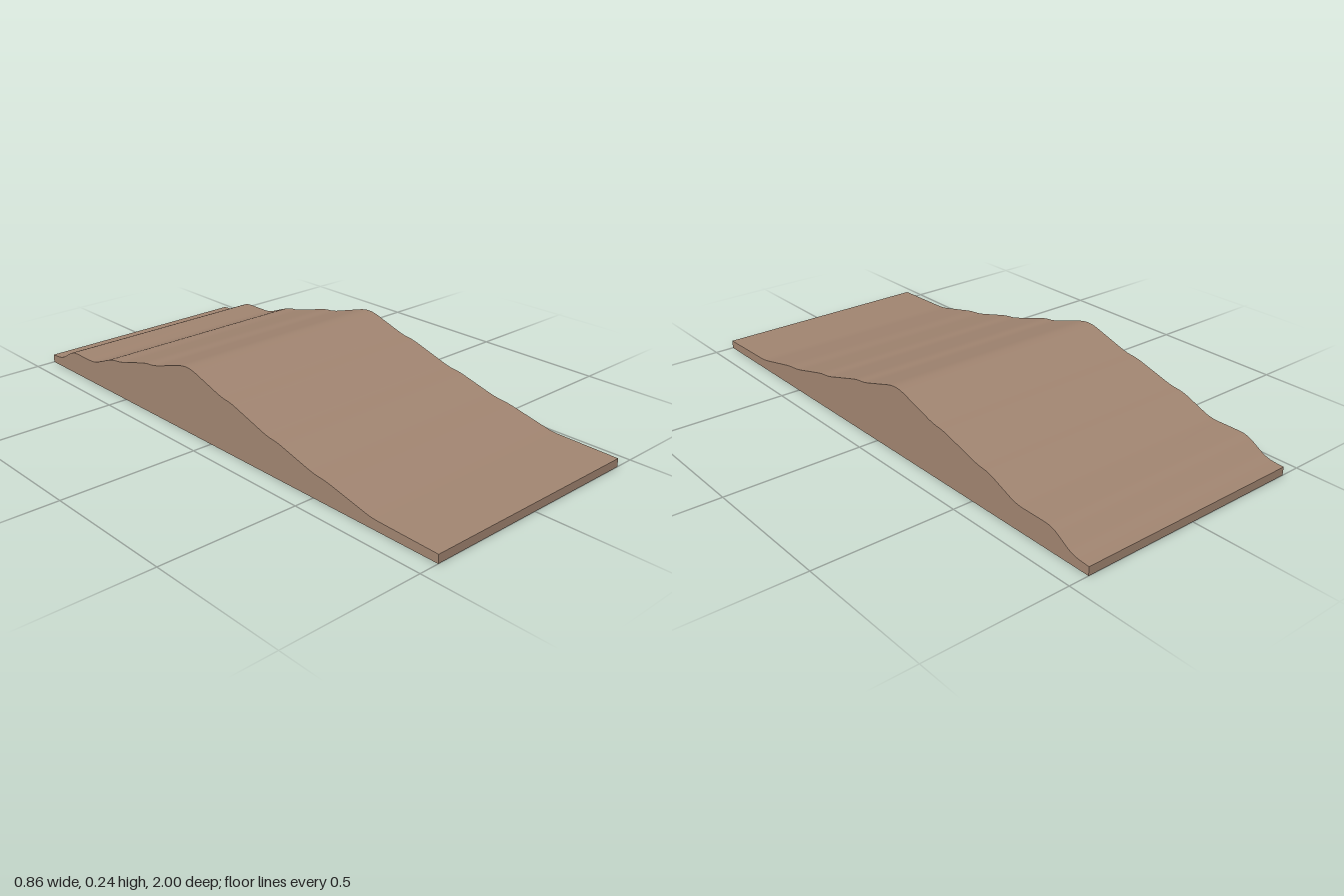
import * as THREE from 'three';
import { toCreasedNormals } from 'three/addons/utils/BufferGeometryUtils.js';

const WIDTH = 0.855;

// Top outline as [z, y] corners, from the front edge to the back edge
const RIDGE = [
  [1, 0.03], [0.745, 0.035],
  [0.555, 0.078], [0.5, 0.083],
  [0.335, 0.127], [0.29, 0.131],
  [0.11, 0.186], [0.065, 0.19],
  [-0.095, 0.24], [-0.14, 0.24],
  [-0.31, 0.188], [-0.36, 0.184],
  [-0.525, 0.138], [-0.575, 0.134],
  [-0.7, 0.085], [-0.85, 0.085],
  [-0.935, 0.034], [-1, 0.03],
];

// Side profile with each corner eased by a short curve
function profile() {
  const pts = RIDGE.map(([z, y]) => new THREE.Vector2(-z, y));
  const shape = new THREE.Shape();
  shape.moveTo(-1, 0);
  shape.lineTo(pts[0].x, pts[0].y);
  for (let i = 1; i < pts.length - 1; i++) {
    const p = pts[i];
    const ease = (q) => p.clone().lerp(q, Math.min(0.45, 0.03 / p.distanceTo(q)));
    const a = ease(pts[i - 1]), b = ease(pts[i + 1]);
    shape.lineTo(a.x, a.y);
    shape.quadraticCurveTo(p.x, p.y, b.x, b.y);
  }
  shape.lineTo(1, 0.03);
  shape.lineTo(1, 0);
  shape.closePath();
  return shape;
}

export function createModel() {
  const group = new THREE.Group();
  group.name = 'terracedRamp';

  const earth = new THREE.MeshStandardMaterial({ color: 0xa08470 });
  earth.name = 'earthBrown';

  // Stepped mound swept across its width
  let geometry = new THREE.ExtrudeGeometry(profile(), {
    depth: WIDTH, bevelEnabled: false, curveSegments: 5,
  });
  geometry.translate(0, 0, -WIDTH / 2);
  geometry.rotateY(Math.PI / 2);
  geometry = toCreasedNormals(geometry, Math.PI / 6);

  const mound = new THREE.Mesh(geometry, earth);
  mound.name = 'mound';
  group.add(mound);
  return group;
}
